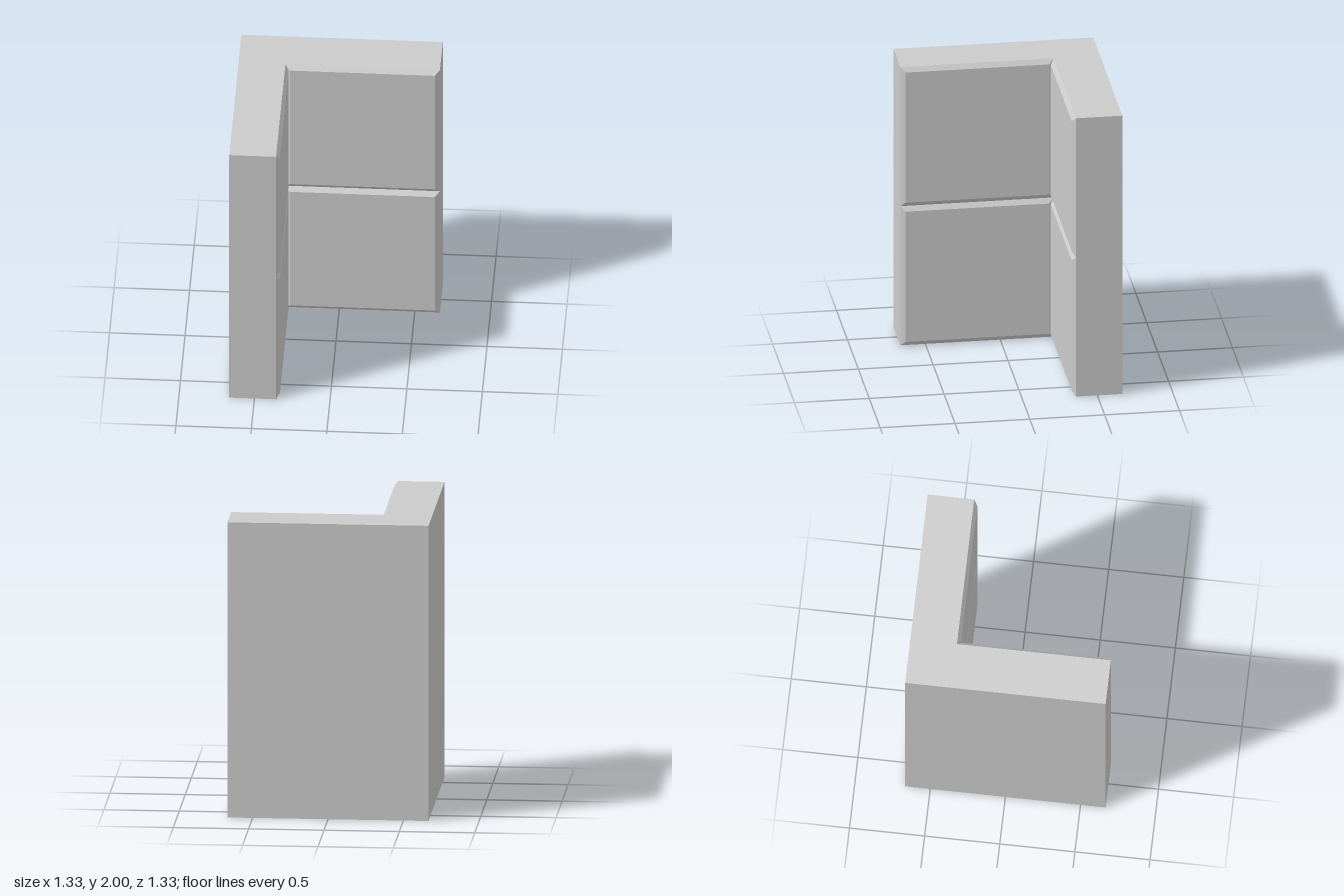
import * as THREE from 'three';

const HALF = 0.667;    // half the footprint
const INNER = -0.357;  // inner face of both walls
const DEPTH = 0.024;   // how far the panels stand out
const BEVEL = 0.032;   // width of the sloped panel border

// Raised panel with sloped borders, open at the back where it meets the wall
function panelGeometry(width, height) {
  const box = new THREE.BoxGeometry(width, height, DEPTH);
  box.translate(0, 0, DEPTH / 2);
  const p = box.attributes.position;
  for (let i = 0; i < p.count; i++) {
    if (p.getZ(i) < DEPTH / 2) continue;
    p.setX(i, p.getX(i) - Math.sign(p.getX(i)) * BEVEL);
    p.setY(i, p.getY(i) - Math.sign(p.getY(i)) * BEVEL);
  }
  box.setIndex(Array.from(box.index.array).slice(0, 30)); // drop the back face
  box.clearGroups();
  const geometry = box.toNonIndexed();
  geometry.computeVertexNormals();
  return geometry;
}

export function createModel() {
  const group = new THREE.Group();
  const material = new THREE.MeshStandardMaterial({ color: 0xcccccc, flatShading: true });

  // L-shaped corner wall
  const outline = new THREE.Shape([
    [-HALF, -HALF], [INNER, -HALF], [INNER, -INNER],
    [HALF, -INNER], [HALF, HALF], [-HALF, HALF],
  ].map(([x, y]) => new THREE.Vector2(x, y)));
  const wallGeometry = new THREE.ExtrudeGeometry(outline, { depth: 2, bevelEnabled: false });
  wallGeometry.rotateX(-Math.PI / 2);
  const wall = new THREE.Mesh(wallGeometry, material);
  wall.name = 'cornerWall';
  group.add(wall);

  // Two stacked panels on each inner face
  const geometry = panelGeometry(HALF - INNER, 1);
  const middle = (HALF + INNER) / 2;
  for (const [level, y] of [['lower', 0.5], ['upper', 1.5]]) {
    const back = new THREE.Mesh(geometry, material);
    back.name = level + 'BackPanel';
    back.position.set(middle, y, INNER);

    const side = new THREE.Mesh(geometry, material);
    side.name = level + 'SidePanel';
    side.position.set(INNER, y, middle);
    side.rotation.y = Math.PI / 2;

    group.add(back, side);
  }
  return group;
}
